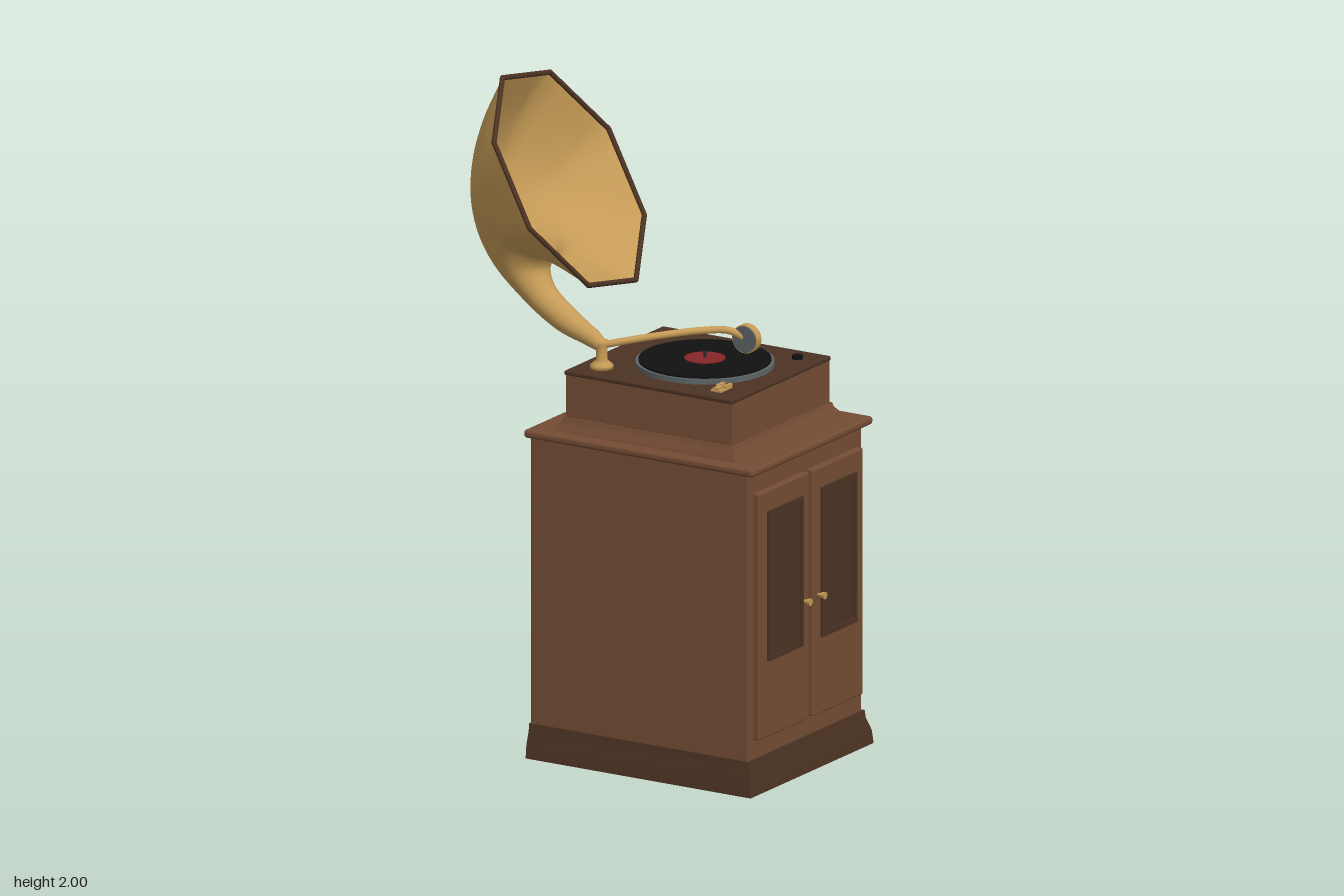
import * as THREE from 'three';
import { toCreasedNormals } from 'three/addons/utils/BufferGeometryUtils.js';
import { RoundedBoxGeometry } from 'three/addons/geometries/RoundedBoxGeometry.js';

const colour = (name, color, side = THREE.FrontSide) => {
  const m = new THREE.MeshStandardMaterial({ color, side });
  m.name = name;
  return m;
};
const wood = colour('wood', 0x744c34);
const darkWood = colour('dark wood', 0x4c3323);
const brass = colour('brass', 0xc49a56);
const brassSheet = brass.clone();
brassSheet.name = 'brass sheet';
brassSheet.side = THREE.DoubleSide;
const black = colour('black', 0x111111);
const iron = colour('iron', 0x25292c);
const steel = colour('steel', 0x5c6466);
const red = colour('label red', 0x882628);
const V = (x, y, z) => new THREE.Vector3(x, y, z);

// Swept moulding: profile of [outward offset, y] around a rectangle; open on -x unless closed
function moulding(x0, x1, z0, z1, profile, closed) {
  const pos = [], idx = [], n = profile.length;
  const corners = [[x0, z1, closed ? -1 : 0, 1], [x1, z1, 1, 1], [x1, z0, 1, -1], [x0, z0, closed ? -1 : 0, -1]];
  for (const [x, z, sx, sz] of corners)
    for (const [o, y] of profile) pos.push(x + sx * o, y, z + sz * o);
  for (let i = 0; i < (closed ? 4 : 3); i++)
    for (let j = 0; j < n; j++) {
      const i2 = (i + 1) % 4, j2 = (j + 1) % n;
      const a = i * n + j, b = i2 * n + j, c = i2 * n + j2, d = i * n + j2;
      idx.push(a, b, c, a, c, d);
    }
  if (!closed)
    for (let j = 1; j < n - 1; j++) idx.push(0, j, j + 1, 3 * n, 3 * n + j + 1, 3 * n + j);
  const g = new THREE.BufferGeometry();
  g.setAttribute('position', new THREE.Float32BufferAttribute(pos, 3));
  g.setIndex(idx);
  return toCreasedNormals(g, 0.5);
}

// Horn mouth corner angle and octagon radius factor
const TURN = THREE.MathUtils.degToRad(14);
function octagon(angle) {
  const step = Math.PI / 4;
  const k = (((angle - TURN) % step) + step) % step;
  return Math.cos(step / 2) / Math.cos(k - step / 2);
}

// Horn sections: outer edge, inner edge, centre depth
const outer = new THREE.CatmullRomCurve3([V(-.122, 1.235, .15), V(-.23, 1.27, .15), V(-.36, 1.35, .14), V(-.466, 1.45, .125),
  V(-.53, 1.57, .105), V(-.548, 1.715, .085), V(-.515, 1.86, .065), V(-.455, 2, .042)]);
const inner = new THREE.CatmullRomCurve3([V(-.105, 1.285, .15), V(-.19, 1.34, .15), V(-.265, 1.395, .14), V(-.29, 1.442, .125),
  V(-.262, 1.475, .105), V(-.2, 1.455, .085), V(-.138, 1.424, .065), V(-.075, 1.39, .042)]);
function hornPoint(t, angle) {
  const a = outer.getPoint(t), b = inner.getPoint(t);
  const c = a.clone().add(b).multiplyScalar(.5);
  const u = a.sub(b).multiplyScalar(.5);
  u.z = 0;
  const r = u.length();
  u.normalize();
  const v = V(u.y * .12 * t, -u.x * .12 * t, 1).normalize();
  const w = THREE.MathUtils.smoothstep(t, .35, .95);
  const k = r * (1 - w + w * octagon(angle));
  return c.addScaledVector(u, k * Math.cos(angle)).addScaledVector(v, k * Math.sin(angle));
}
function hornGeometry() {
  const rings = 36, sides = 40, pos = [], idx = [];
  for (let i = 0; i <= rings; i++)
    for (let j = 0; j < sides; j++)
      pos.push(...hornPoint(i / rings, TURN + (j / sides) * Math.PI * 2).toArray());
  for (let i = 0; i < rings; i++)
    for (let j = 0; j < sides; j++) {
      const a = i * sides + j, b = i * sides + (j + 1) % sides;
      idx.push(a, b, b + sides, a, b + sides, a + sides);
    }
  const g = new THREE.BufferGeometry();
  g.setAttribute('position', new THREE.Float32BufferAttribute(pos, 3));
  g.setIndex(idx);
  g.computeVertexNormals();
  return g;
}

export function createModel() {
  const model = new THREE.Group();
  const add = (name, geo, mat, x = 0, y = 0, z = 0) => {
    const m = new THREE.Mesh(geo, mat);
    m.name = name;
    m.position.set(x, y, z);
    model.add(m);
    return m;
  };
  // Box given by its limits, optionally with softened edges
  const block = (name, mat, x0, x1, y0, y1, z0, z1, r = 0) => add(name,
    r ? new RoundedBoxGeometry(x1 - x0, y1 - y0, z1 - z0, 2, r) : new THREE.BoxGeometry(x1 - x0, y1 - y0, z1 - z0),
    mat, (x0 + x1) / 2, (y0 + y1) / 2, (z0 + z1) / 2);
  // Cylinder between two points
  const rod = (name, mat, a, b, r0, r1 = r0, sides = 24) => {
    const d = b.clone().sub(a);
    const m = add(name, new THREE.CylinderGeometry(r1, r0, d.length(), sides), mat);
    m.position.copy(a).addScaledVector(d, .5);
    m.quaternion.setFromUnitVectors(V(0, 1, 0), d.normalize());
    return m;
  };

  // Cabinet
  block('cabinetBody', wood, -.25, .5, .095, .975, -.345, .28, .006);
  add('plinth', moulding(-.25, .5, -.345, .28,
    [[-.02, 0], [.025, 0], [.021, .04], [.008, .08], [.006, .102], [-.02, .102]], false), darkWood);
  block('cabinetTop', wood, -.265, .525, .97, .995, -.37, .295, .01);

  // Doors with framed panels and knobs
  for (const s of [1, -1]) {
    const mid = -.035, span = (a, b) => [mid + s * a, mid + s * b].sort((p, q) => p - q);
    block('door', wood, .495, .52, .16, .91, ...span(.01, .286), .005);
    const [p0, p1] = span(.05, .243);
    block('doorPanel', darkWood, .515, .522, .4, .84, p0 + .01, p1 - .01);
    for (const y of [.392, .834]) block('panelFrame', darkWood, .515, .527, y, y + .014, p0, p1);
    for (const z of [p0, p1 - .014]) block('panelFrame', darkWood, .515, .527, .406, .834, z, z + .014);
    const z = mid + s * .04;
    rod('knobStem', brass, V(.515, .525, z), V(.535, .525, z), .005);
    rod('knob', brass, V(.53, .525, z), V(.544, .525, z), .008, .011);
  }

  // Motor box
  block('motorBox', wood, -.16, .412, .99, 1.168, -.307, .228);
  add('motorBoxMoulding', moulding(-.16, .412, -.307, .228,
    [[-.01, .99], [.028, .99], [.024, 1.003], [.009, 1.022], [.006, 1.034], [-.01, 1.034]], true), wood);
  block('motorBoxLid', darkWood, -.164, .416, 1.162, 1.175, -.311, .232, .004);

  // Turntable and record
  const disc = (name, mat, r, y0, y1, x = .153, z = -.037) => rod(name, mat, V(x, y0, z), V(x, y1, z), r, r, 64);
  disc('platter', steel, .203, 1.174, 1.19);
  disc('record', black, .194, 1.188, 1.196);
  disc('recordLabel', red, .06, 1.194, 1.198);
  disc('spindle', iron, .004, 1.19, 1.218);
  disc('speedKnob', black, .016, 1.174, 1.186, .348, -.235);

  // Brake lever
  block('brakePlate', brass, .31, .346, 1.174, 1.18, .118, .183);
  for (const x of [.311, .335]) block('brakeCheek', brass, x, x + .01, 1.178, 1.188, .118, .155);
  block('brakeLever', brass, .32, .336, 1.178, 1.188, .155, .183);

  // Tone arm, its stand and the sound box
  const px = -.085, pz = .15;
  add('armStand', new THREE.LatheGeometry([[0, 0], [.034, 0], [.034, .012], [.024, .02], [.017, .028],
    [.016, .07], [.02, .075], [.018, .086], [0, .09]].map(([r, y]) => new THREE.Vector2(r, y)), 32), brass, px, 1.174, pz);
  rod('hornSocket', brass, V(px, 1.243, pz), V(-.122, 1.264, pz), .02, .029);
  const armPath = new THREE.CatmullRomCurve3([V(px, 1.245, pz), V(-.03, 1.257, .118), V(.04, 1.266, .045),
    V(.12, 1.268, -.06), V(.18, 1.262, -.125), V(.222, 1.24, -.148)]);
  add('toneArm', new THREE.TubeGeometry(armPath, 40, .011, 12), brass);
  rod('soundBox', brass, V(.225, 1.238, -.164), V(.225, 1.238, -.139), .043, .043, 32);
  rod('soundBoxFace', steel, V(.225, 1.238, -.14), V(.225, 1.238, -.136), .04, .04, 32);
  rod('needle', steel, V(.225, 1.205, -.15), V(.232, 1.196, -.15), .003, .001, 8);

  // Horn and its rim
  add('horn', hornGeometry(), brassSheet);
  const rim = [...Array(8).keys()].map(i => hornPoint(1, TURN + i * Math.PI / 4));
  rim.forEach((p, i) => {
    rod('hornRim', darkWood, p, rim[(i + 1) % 8], .008, .008, 8);
    add('hornRimCorner', new THREE.SphereGeometry(.008, 8, 6), darkWood, p.x, p.y, p.z);
  });

  // Crank
  const cx = .125;
  rod('crankCollar', brass, V(cx, 1.085, -.3), V(cx, 1.085, -.318), .021);
  const crankPath = new THREE.CatmullRomCurve3([V(cx, 1.087, -.305), V(cx, 1.087, -.345), V(cx, 1.087, -.37),
    V(cx, 1.083, -.38), V(cx, 1.07, -.385), V(cx, 1.02, -.386), V(cx, .945, -.386)]);
  add('crankArm', new THREE.TubeGeometry(crankPath, 40, .006, 10), iron);
  rod('crankHandle', black, V(cx, .946, -.343), V(cx, .946, -.392), .012, .014);
  return model;
}
